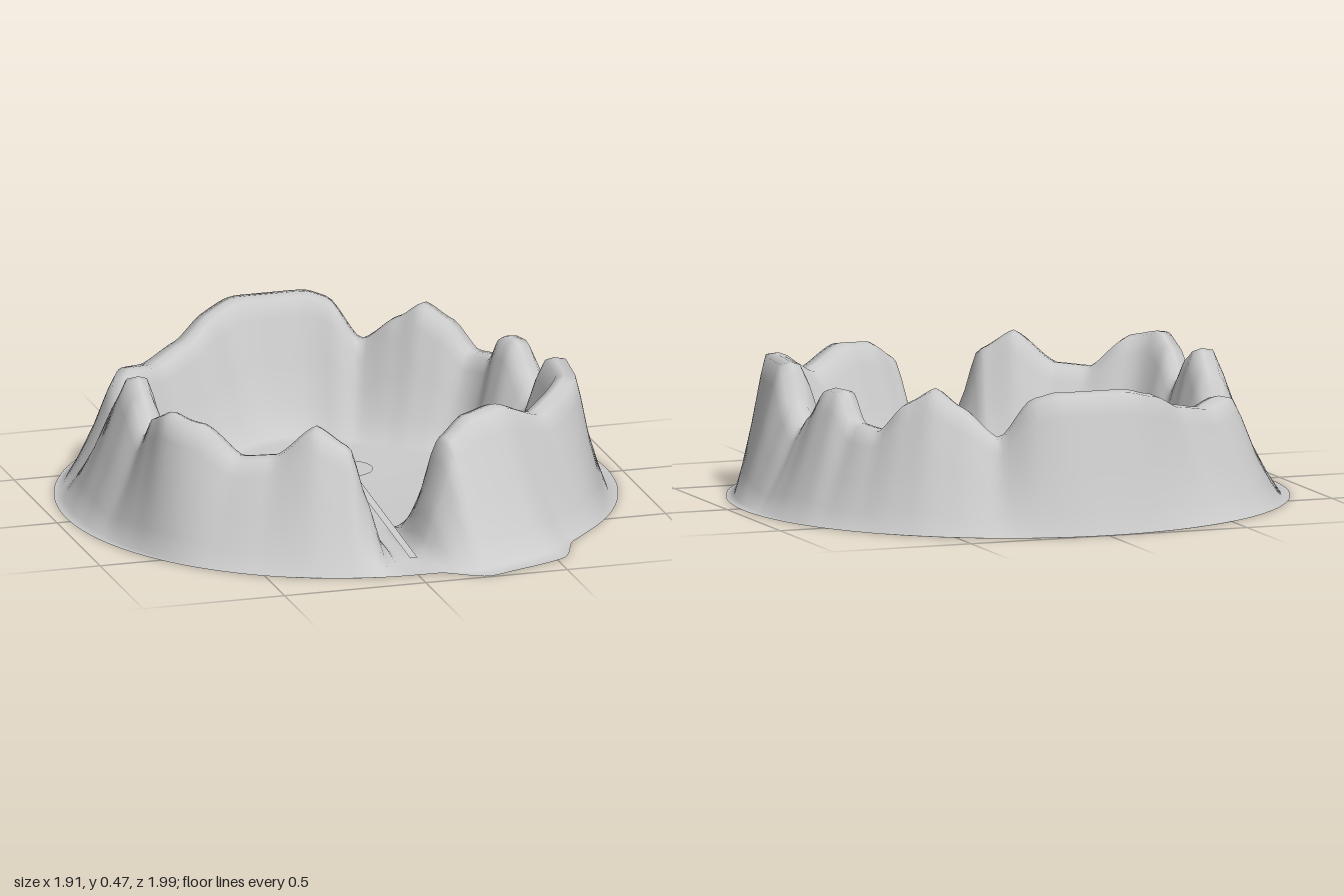
import * as THREE from 'three';

const FLOOR_Y = 0.012;

// Crest height by angle in degrees: 0 = front (+z), 90 = +x
const crestHeight = [[0, 0.014], [3, 0.02], [6, 0.07], [9, 0.2], [14, 0.39], [24, 0.45], [35, 0.46], [50, 0.39],
  [62, 0.47], [80, 0.47], [87, 0.34], [94, 0.27], [98, 0.32], [106, 0.43], [112, 0.43], [118, 0.33], [127, 0.32],
  [134, 0.42], [141, 0.47], [148, 0.41], [158, 0.31], [166, 0.45], [171, 0.47], [188, 0.47], [197, 0.44],
  [208, 0.38], [222, 0.35], [232, 0.37], [240, 0.33], [248, 0.26], [256, 0.4], [264, 0.47], [272, 0.43],
  [281, 0.33], [289, 0.43], [296, 0.47], [304, 0.45], [314, 0.34], [324, 0.35], [336, 0.46], [346, 0.39],
  [351, 0.2], [354, 0.07], [357, 0.02], [360, 0.014]];
const skirtBulge = [[0, 0], [5, 0.005], [13, 0.11], [20, 0.1], [31, 0.105], [41, 0.01], [48, 0], [360, 0]];

// Plan outlines of the crest and the floor edge, [x, z] from front round by +x
const crestPlan = [[0.1, 0.67], [0.68, 0.37], [0.72, 0], [0.62, -0.44], [0.15, -0.81],
  [-0.15, -0.81], [-0.63, -0.43], [-0.69, 0], [-0.69, 0.38], [-0.1, 0.67]];
const floorPlan = [[0.1, 0.43], [0.5, 0.21], [0.51, -0.3], [0.42, -0.37], [0.08, -0.61],
  [-0.06, -0.61], [-0.52, -0.33], [-0.51, 0.24], [-0.1, 0.43]];

// Eased lookup in a table
function sample(table, deg) {
  let i = 0;
  while (i < table.length - 2 && deg > table[i + 1][0]) i++;
  const [a, va] = table[i], [b, vb] = table[i + 1];
  const t = (deg - a) / (b - a);
  return va + (vb - va) * (0.5 * t + 0.5 * t * t * (3 - 2 * t));
}

// Distance from the origin to a convex-looking outline along one direction
function planRadius(plan, rad) {
  const dx = Math.sin(rad), dz = Math.cos(rad);
  for (let i = 0; i < plan.length; i++) {
    const [ax, az] = plan[i], [bx, bz] = plan[(i + 1) % plan.length];
    const sa = dx * az - dz * ax, sb = dx * bz - dz * bx;
    if (sa >= 0 && sb < 0 && ax * dx + az * dz > 0) {
      const t = sa / (sa - sb);
      return Math.hypot(ax + (bx - ax) * t, az + (bz - az) * t);
    }
  }
  return Math.hypot(...plan[0]);
}

// Outline radius with its corners softened over a few degrees
function softRadius(plan, rad) {
  let sum = 0;
  for (let k = -2; k <= 2; k++) sum += planRadius(plan, rad + k * 0.035);
  return sum / 5;
}

// Distance from the origin to the round base, whose centre sits slightly back
function baseRadius(rad) {
  const c = Math.cos(rad), off = 0.045, r = 0.955;
  return -off * c + Math.sqrt(r * r - off * off * (1 - c * c));
}

// Radial cross-section of the wall, from floor edge to skirt: [radius, height]
function section(deg) {
  const rad = THREE.MathUtils.degToRad(deg);
  const mix = THREE.MathUtils.lerp;
  const h = sample(crestHeight, deg), bulge = sample(skirtBulge, deg);
  const rc = softRadius(crestPlan, rad), rf = softRadius(floorPlan, rad);
  const base = baseRadius(rad), c = Math.cos(rad);
  const low = base - 0.04 + 0.035 * Math.abs(c) + 0.35 * bulge;
  const outer = Math.min(rc + 0.05, low - 0.05);
  const inner = rc - 0.02;
  const up = t => FLOOR_Y + (h - FLOOR_Y) * t;
  return [
    [rf - 0.03, FLOOR_Y],
    [rf, up(0.03)],
    [mix(rf, inner, 0.3), up(0.22)],
    [mix(rf, inner, 0.6), up(0.53)],
    [mix(rf, inner, 0.84), up(0.84)],
    [inner, up(0.98)],
    [rc + 0.01, h],
    [outer, h * 0.985],
    [mix(outer, low, 0.17), h * 0.83],
    [mix(outer, low, 0.47), h * 0.48],
    [mix(outer, low, 0.78), h * 0.18],
    [low, 0],
    [base + bulge, 0],
  ];
}

// Crater sheet: floor fan plus rings of the wall section
function craterGeometry(steps = 240) {
  const pos = [0, FLOOR_Y, 0], index = [];
  let rows = 0;
  for (let i = 0; i < steps; i++) {
    const deg = (i / steps) * 360, a = THREE.MathUtils.degToRad(deg);
    const pts = section(deg);
    rows = pts.length;
    for (const [r, y] of pts) pos.push(r * Math.sin(a), y, r * Math.cos(a));
  }
  for (let i = 0; i < steps; i++) {
    const a = 1 + i * rows, b = 1 + ((i + 1) % steps) * rows;
    index.push(0, a, b);
    for (let j = 0; j < rows - 1; j++) {
      index.push(a + j, a + j + 1, b + j + 1, a + j, b + j + 1, b + j);
    }
  }
  const g = new THREE.BufferGeometry();
  g.setAttribute('position', new THREE.Float32BufferAttribute(pos, 3));
  g.setIndex(index);
  g.computeVertexNormals();
  return g;
}

export function createModel() {
  const group = new THREE.Group();
  const grey = new THREE.MeshStandardMaterial({ color: 0xcccccc, side: THREE.DoubleSide });
  const add = (name, geometry) => {
    const mesh = new THREE.Mesh(geometry, grey);
    mesh.name = name;
    group.add(mesh);
  };

  add('craterWall', craterGeometry());

  // Thin round plate held above the floor
  add('centreDisc', new THREE.CircleGeometry(0.095, 48).rotateX(-Math.PI / 2).translate(0, 0.118, 0.06));

  // Narrow strip running down from the plate and out through the gap
  const run = 0.71, drop = 0.073;
  add('channelStrip', new THREE.PlaneGeometry(0.026, Math.hypot(run, drop))
    .rotateX(-Math.PI / 2 + Math.atan2(drop, run))
    .translate(0, 0.118 - drop / 2, 0.15 + run / 2));

  return group;
}
